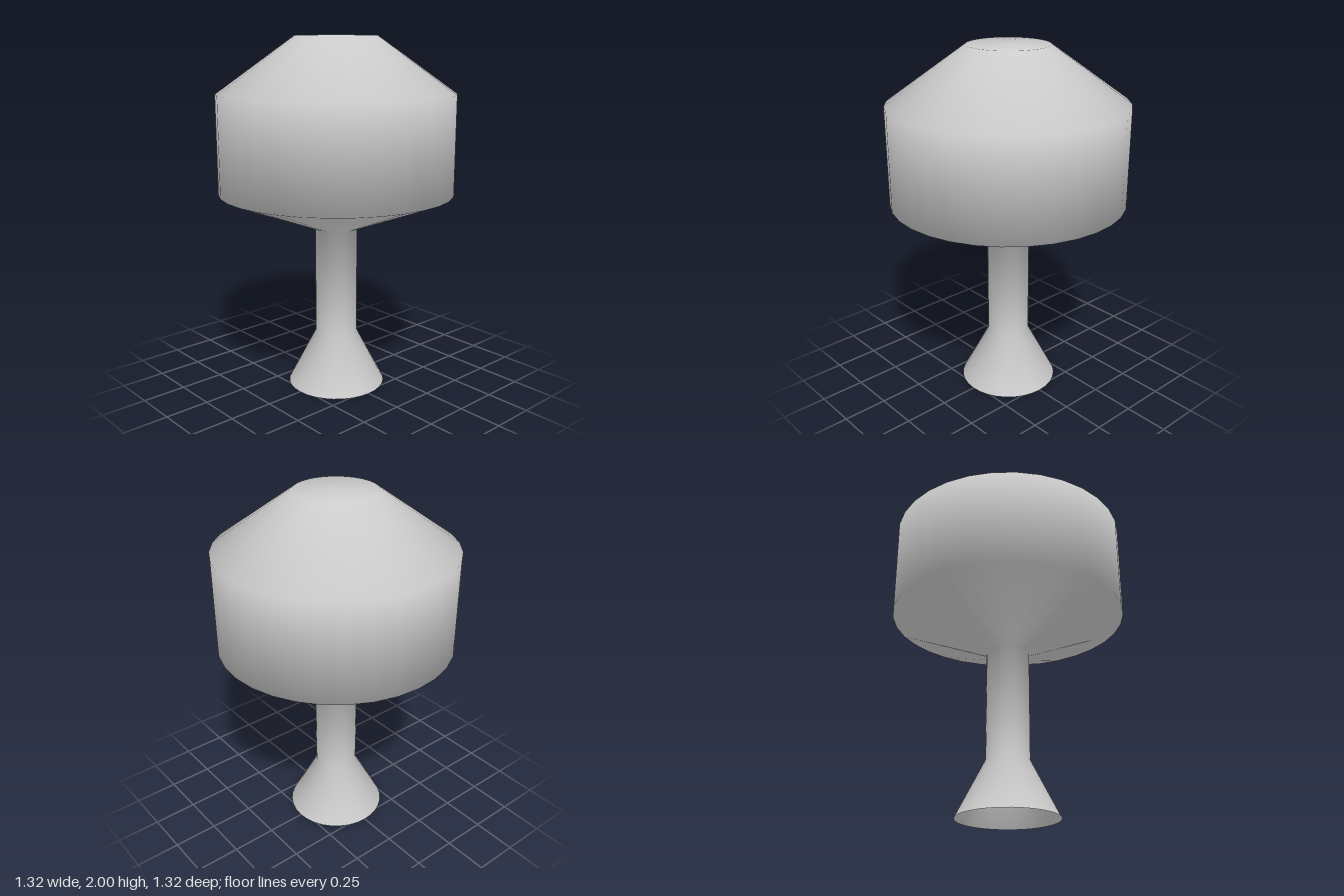
import * as THREE from 'three';

export function createModel() {
  const group = new THREE.Group();
  group.name = 'waterTower';

  // One continuous smooth shell, open at the foot: [radius, height]
  const profile = [
    [0.28, 0],     // flared foot
    [0.12, 0.31],  // stem
    [0.12, 0.93],
    [0.66, 1.14],  // tank underside
    [0.66, 1.69],  // tank wall
    [0.225, 2],    // sloping roof
    [0, 2],        // flat top
  ].map(([r, y]) => new THREE.Vector2(r, y));

  const shell = new THREE.Mesh(
    new THREE.LatheGeometry(profile, 32),
    new THREE.MeshStandardMaterial({ color: 0xcccccc, side: THREE.DoubleSide })
  );
  shell.name = 'tankAndStem';
  group.add(shell);

  return group;
}
